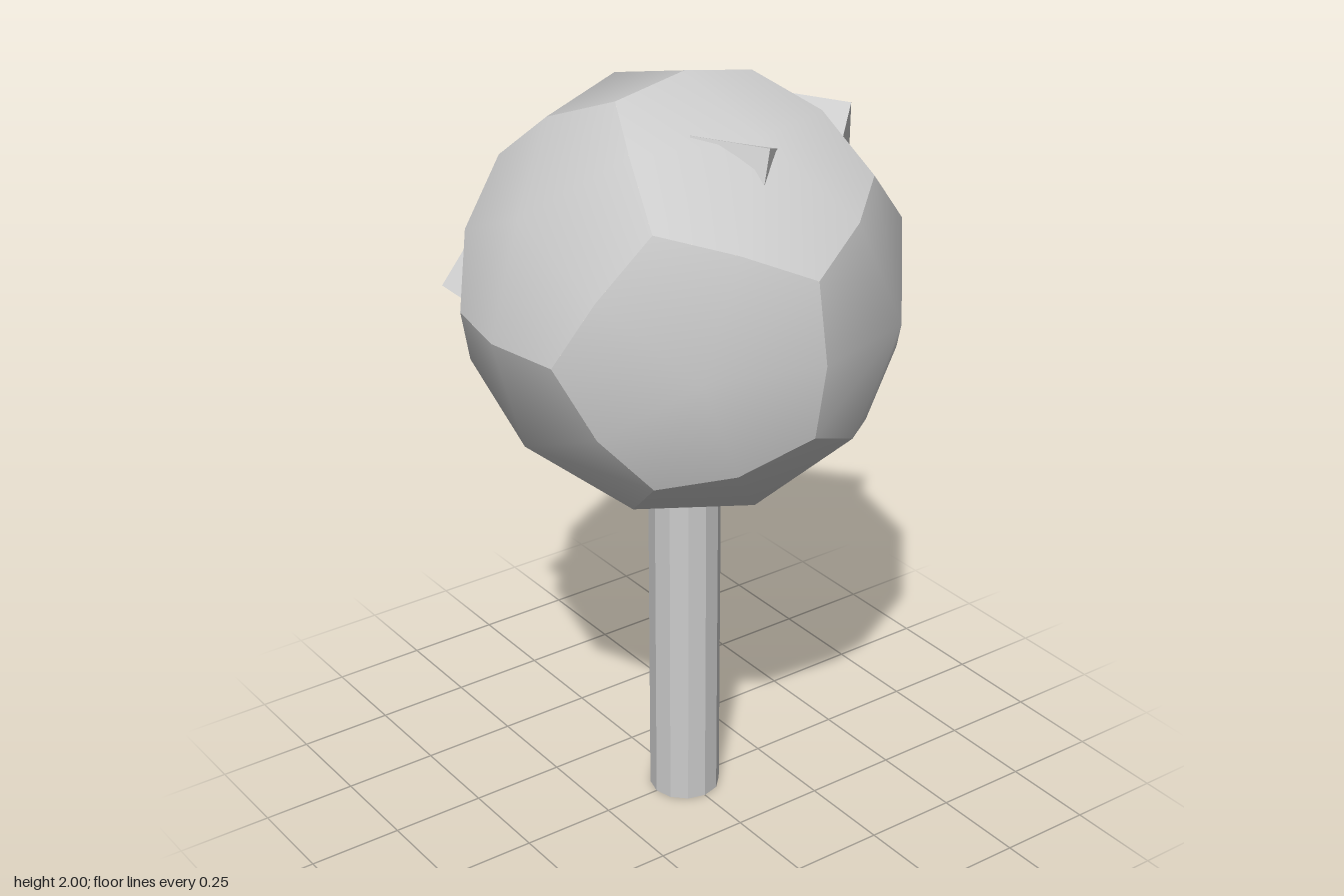
import * as THREE from 'three';

const PHI = (1 + Math.sqrt(5)) / 2;
const CENTER = new THREE.Vector3(0, 1.443, 0);
const RADIUS = 0.557;

const material = new THREE.MeshStandardMaterial({ color: 0xcccccc });
const stemMaterial = new THREE.MeshStandardMaterial({ color: 0xcccccc, flatShading: true });

// One domed pentagon of the head: centre, corners and edge midpoints all on the sphere
function pentagonDome(normal) {
  const n = normal.clone().normalize();
  const axes = [new THREE.Vector3(1, 0, 0), new THREE.Vector3(0, 1, 0), new THREE.Vector3(0, 0, 1)];
  const main = axes.reduce((a, b) => (Math.abs(b.dot(n)) > Math.abs(a.dot(n)) ? b : a));
  // u points at an edge midpoint
  const u = main.clone().multiplyScalar(Math.sign(main.dot(n)));
  u.addScaledVector(n, -u.dot(n)).normalize();
  const v = n.clone().cross(u);

  const points = [n.clone().multiplyScalar(RADIUS)];
  const index = [];
  for (let k = 0; k < 10; k++) {
    const tilt = THREE.MathUtils.degToRad(k % 2 ? 37.377 : 31.717);
    const turn = (k * Math.PI) / 5;
    points.push(new THREE.Vector3()
      .addScaledVector(n, Math.cos(tilt))
      .addScaledVector(u, Math.sin(tilt) * Math.cos(turn))
      .addScaledVector(v, Math.sin(tilt) * Math.sin(turn))
      .multiplyScalar(RADIUS));
    index.push(0, k + 1, ((k + 1) % 10) + 1);
  }
  const geometry = new THREE.BufferGeometry().setFromPoints(points);
  geometry.setIndex(index);
  geometry.computeVertexNormals();
  return geometry;
}

// Cube embedded in the head, placed by its outermost corner and two edge directions
function embeddedCube(corner, edgeA, edgeB, size) {
  const p = new THREE.Vector3(...corner);
  const a = new THREE.Vector3(...edgeA).normalize();
  const b = new THREE.Vector3(...edgeB);
  b.addScaledVector(a, -b.dot(a)).normalize();
  const c = a.clone().cross(b);
  const inward = c.dot(CENTER.clone().sub(p)) > 0 ? 1 : -1;

  const cube = new THREE.Mesh(new THREE.BoxGeometry(size, size, size), material);
  cube.quaternion.setFromRotationMatrix(new THREE.Matrix4().makeBasis(a, b, c));
  cube.position.copy(p)
    .addScaledVector(a, size / 2)
    .addScaledVector(b, size / 2)
    .addScaledVector(c, (inward * size) / 2);
  return cube;
}

export function createModel() {
  const model = new THREE.Group();
  model.name = 'lollipop';

  // Stem
  const stem = new THREE.Mesh(new THREE.CylinderGeometry(0.093, 0.093, 1, 12), stemMaterial);
  stem.position.y = 0.5;
  stem.name = 'stem';
  model.add(stem);

  // Head: twelve domed pentagons
  const head = new THREE.Group();
  head.name = 'head';
  head.position.copy(CENTER);
  for (const s of [1, -1]) {
    for (const t of [PHI, -PHI]) {
      for (const d of [[s, t, 0], [0, s, t], [t, 0, s]]) {
        const face = new THREE.Mesh(pentagonDome(new THREE.Vector3(...d)), material);
        face.name = 'headFace';
        head.add(face);
      }
    }
  }
  model.add(head);

  // Small cubes poking out of the head
  const cubes = {
    frontCube: [[-0.28, 1.485, 0.52], [0.005, 0.105, -0.082], [-0.043, -0.08, -0.105]],
    topCube: [[0.35, 1.912, 0.015], [-0.075, 0.005, 0.055], [0.035, -0.11, 0.02]],
    backCube: [[0.05, 1.84, -0.47], [-0.08, -0.16, -0.065], [-0.14, 0.02, 0.13]],
    lowerCube: [[-0.35, 0.932, -0.01], [0.165, -0.005, 0.06], [-0.025, 0.145, 0.09]],
  };
  for (const [name, [corner, a, b]] of Object.entries(cubes)) {
    const cube = embeddedCube(corner, a, b, 0.19);
    cube.name = name;
    model.add(cube);
  }
  return model;
}
